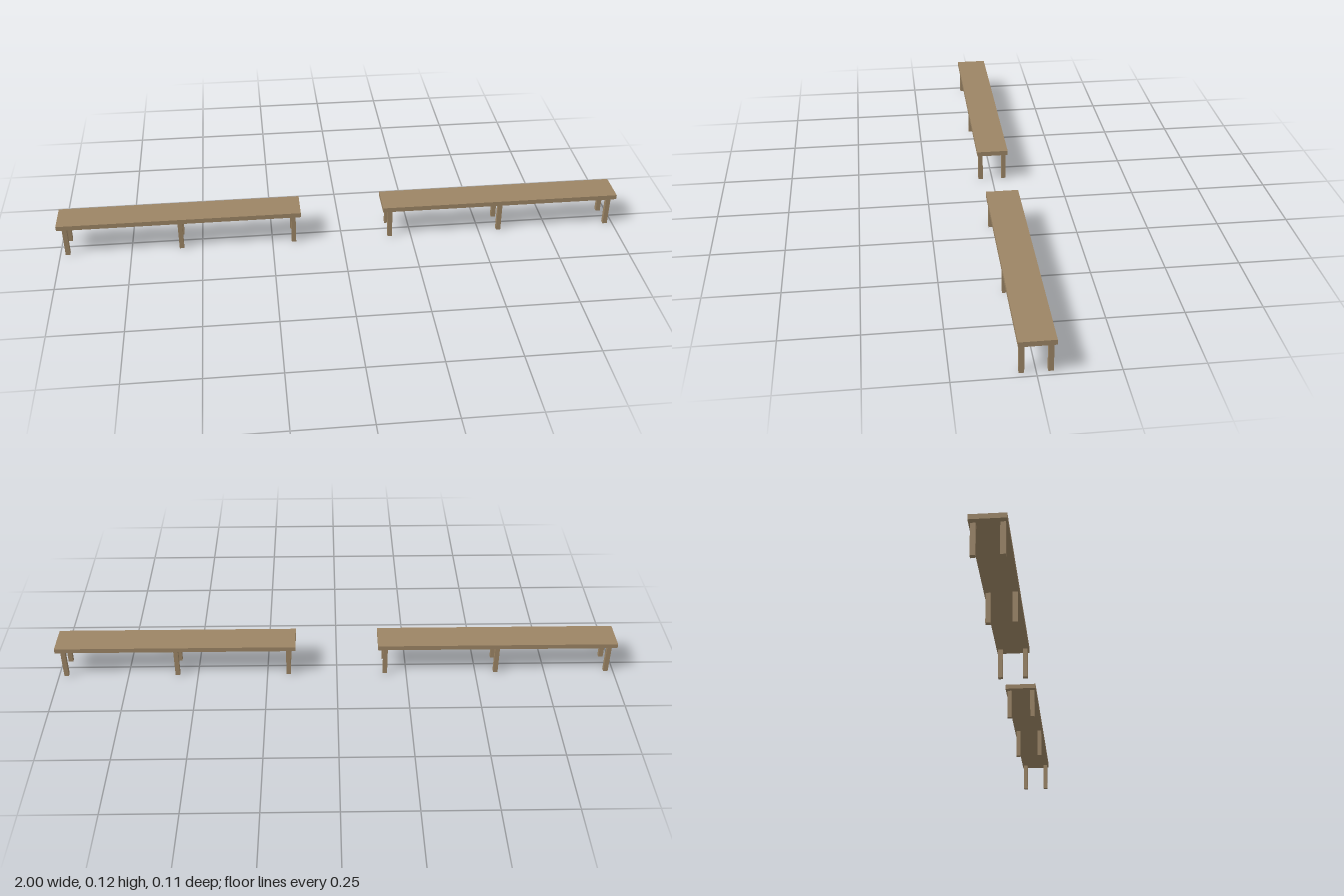
import * as THREE from 'three';

const wood = new THREE.MeshStandardMaterial({ color: 0x9b8464 });

function box(name, w, h, d, x, y, z) {
  const mesh = new THREE.Mesh(new THREE.BoxGeometry(w, h, d), wood);
  mesh.name = name;
  mesh.position.set(x, y, z);
  return mesh;
}

// One long bench: a plank seat on three pairs of square legs
function createBench(name) {
  const length = 0.853, depth = 0.113, legHeight = 0.107, seatThickness = 0.017, leg = 0.016;
  const bench = new THREE.Group();
  bench.name = name;
  bench.add(box('seat', length, seatThickness, depth, 0, legHeight + seatThickness / 2, 0));
  for (const x of [-0.4, 0, 0.4]) {
    for (const z of [0.043, -0.043]) {
      bench.add(box(z > 0 ? 'frontLeg' : 'backLeg', leg, legHeight, leg, x, legHeight / 2, z));
    }
  }
  return bench;
}

export function createModel() {
  const model = new THREE.Group();
  model.name = 'benches';
  // Two matching benches end to end with a gap between
  for (const side of [1, -1]) {
    const bench = createBench(side > 0 ? 'leftBench' : 'rightBench');
    bench.position.x = side * 0.5735;
    model.add(bench);
  }
  return model;
}
